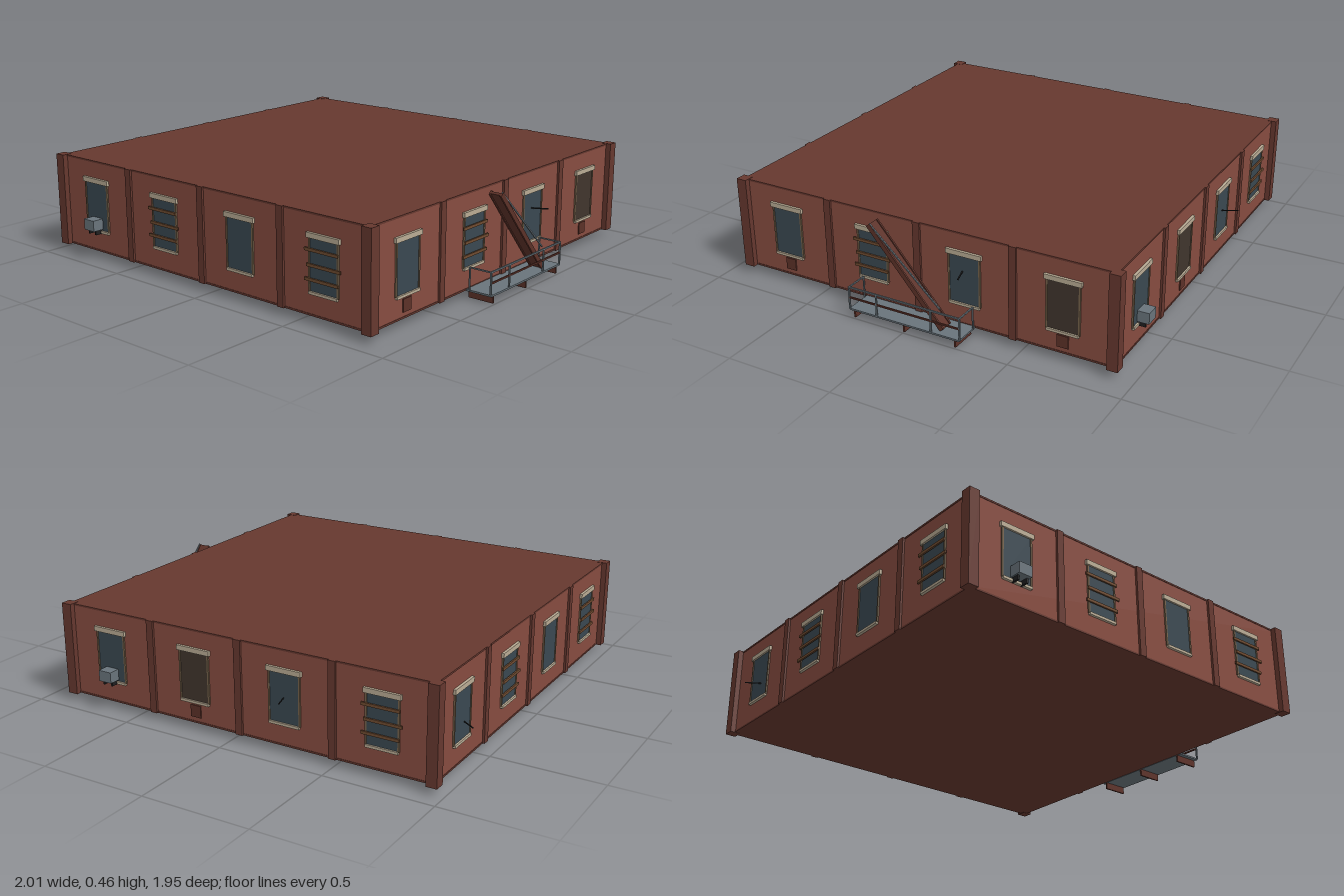
import * as THREE from 'three';

const mat = (name, color, side = THREE.FrontSide) => {
  const m = new THREE.MeshStandardMaterial({ color, side });
  m.name = name;
  return m;
};

export function createModel() {
  const brick = mat('brick', 0x874c40);
  const darkBrick = mat('darkBrick', 0x66382f);
  const stone = mat('stone', 0xb9ab94);
  const glass = mat('glass', 0x3a4851);
  const darkGlass = mat('darkGlass', 0x40352d);
  const frameWood = mat('frameWood', 0x75624a);
  const plankWood = mat('plankWood', 0x6f4b30);
  const steel = mat('steel', 0x69747b);
  const black = mat('black', 0x1f1f20);
  const rust = mat('rust', 0x5c3128);

  const CX = -0.042;            // building centre in x
  const HALF = 0.908;           // half width of the square storey
  const Y0 = 0.035, Y1 = 0.46;
  const H = Y1 - Y0, YM = (Y0 + Y1) / 2;

  const model = new THREE.Group();
  model.name = 'buildingStorey';

  const box = (parent, name, m, w, h, d, x, y, z) => {
    const mesh = new THREE.Mesh(new THREE.BoxGeometry(w, h, d), m);
    mesh.name = name;
    mesh.position.set(x, y, z);
    parent.add(mesh);
    return mesh;
  };

  // Square bar running between two points
  const bar = (parent, name, m, a, b, w, h = w) => {
    const from = new THREE.Vector3(...a), to = new THREE.Vector3(...b);
    const mesh = box(parent, name, m, w, h, from.distanceTo(to), 0, 0, 0);
    mesh.position.copy(from).add(to).multiplyScalar(0.5);
    mesh.lookAt(to);
    return mesh;
  };

  // Storey body with roof and floor slabs
  box(model, 'walls', brick, HALF * 2, H - 0.012, HALF * 2, CX, YM, 0);
  for (const [name, y] of [['floorSlab', Y0 + 0.004], ['roofSlab', Y1 - 0.004]])
    box(model, name, darkBrick, HALF * 2 + 0.004, 0.008, HALF * 2 + 0.004, CX, y, 0);

  // Corner piers
  for (const sx of [-1, 1]) for (const sz of [-1, 1])
    box(model, 'cornerPier', darkBrick, 0.049, H + 0.003, 0.049, CX + sx * HALF, YM, sz * HALF);

  // Extras that dress single windows; local z points out of the wall
  const extras = {
    planks(g) {
      [[-0.005, 0.312], [0.006, 0.249], [-0.005, 0.19]].forEach(([x, y]) =>
        box(g, 'plank', plankWood, 0.172, 0.013, 0.007, x, y, 0.012));
    },
    airConditioner(g) {
      box(g, 'airConditionerBox', steel, 0.065, 0.05, 0.056, 0, 0.172, 0.029);
      for (const x of [-0.022, 0.022])
        box(g, 'airConditionerBracket', black, 0.008, 0.022, 0.038, x, 0.137, 0.021);
    },
    vent(g) {
      box(g, 'ventPatch', rust, 0.052, 0.055, 0.006, 0, 0.09, 0.002);
    },
    highRod(g) {
      bar(g, 'brokenRod', black, [0, 0.33, 0.005], [0, 0.245, 0.055], 0.005);
    },
    lowRod(g) {
      bar(g, 'brokenRod', black, [0, 0.25, 0.005], [0, 0.17, 0.049], 0.004);
    },
    crack(g) {
      bar(g, 'glassCrack', black, [-0.045, 0.31, 0.006], [0.04, 0.19, 0.006], 0.004);
    },
  };

  const addWindow = (wall, x, kinds) => {
    const g = new THREE.Group();
    g.name = 'window';
    g.position.x = x;
    wall.add(g);
    const pane = kinds.includes('dark') ? darkGlass : glass;
    box(g, 'windowPane', pane, 0.144, 0.226, 0.006, 0, 0.25, 0.001);
    for (const s of [-1, 1])
      box(g, 'windowFrame', frameWood, 0.008, 0.226, 0.008, s * 0.073, 0.25, 0.003);
    box(g, 'windowLintel', stone, 0.168, 0.022, 0.016, 0, 0.369, 0.004);
    box(g, 'windowSill', stone, 0.146, 0.012, 0.016, 0, 0.134, 0.004);
    kinds.forEach(k => extras[k]?.(g));
  };

  // Four walls, windows listed from left to right as seen from outside
  const walls = [
    ['frontWall', 0, [['airConditioner'], ['planks'], [], ['planks']]],
    ['escapeWall', Math.PI / 2, [['vent'], ['planks'], ['highRod'], ['dark', 'vent']]],
    ['backWall', Math.PI, [['airConditioner'], ['dark', 'vent'], ['crack'], ['planks']]],
    ['plainWall', -Math.PI / 2, [['lowRod'], ['planks'], [], ['planks']]],
  ];
  for (const [name, angle, windows] of walls) {
    const pivot = new THREE.Group();
    pivot.name = name;
    pivot.position.x = CX;
    pivot.rotation.y = angle;
    model.add(pivot);
    const face = new THREE.Group();
    face.name = name + 'Details';
    face.position.z = HALF;
    pivot.add(face);
    windows.forEach((kinds, i) => addWindow(face, (i - 1.5) * 0.4535, kinds));
    for (const x of [-0.4535, 0, 0.4535])
      box(face, 'pilaster', darkBrick, 0.034, H, 0.02, x, YM, 0);
  }

  // Fire escape: landing on brackets
  const escape = new THREE.Group();
  escape.name = 'fireEscape';
  model.add(escape);
  const IN = 0.868, OUT = 0.994, ZE = 0.273;
  box(escape, 'landing', steel, OUT - IN, 0.008, ZE * 2, (IN + OUT) / 2, 0.037, 0);
  for (const z of [-0.25, 0, 0.25])
    box(escape, 'landingBracket', rust, 0.122, 0.033, 0.008, 0.929, 0.0165, z);

  // Railing
  const RX = OUT - 0.004;
  for (const z of [-ZE, -0.135, 0.135, ZE])
    box(escape, 'railPost', steel, 0.007, 0.105, 0.007, RX, 0.09, z);
  bar(escape, 'topRail', steel, [RX, 0.14, -ZE], [RX, 0.14, ZE], 0.007);
  bar(escape, 'middleRail', rust, [RX, 0.092, -ZE], [RX, 0.092, ZE], 0.007);
  for (const z of [-ZE, ZE]) {
    bar(escape, 'endRail', steel, [0.885, 0.14, z], [RX, 0.14, z], 0.006);
    box(escape, 'innerPost', steel, 0.006, 0.105, 0.006, 0.885, 0.09, z);
  }

  // Steep stair with side stringers and one handrail
  bar(escape, 'stairFlight', rust, [0.936, 0.445, 0.174], [0.936, 0.045, -0.172], 0.054, 0.012);
  for (const x of [0.909, 0.963])
    bar(escape, 'stairStringer', rust, [x, 0.445, 0.174], [x, 0.045, -0.172], 0.008, 0.022);
  bar(escape, 'stairHandrail', steel, [0.963, 0.452, 0.168], [0.963, 0.14, -0.165], 0.006);

  return model;
}
